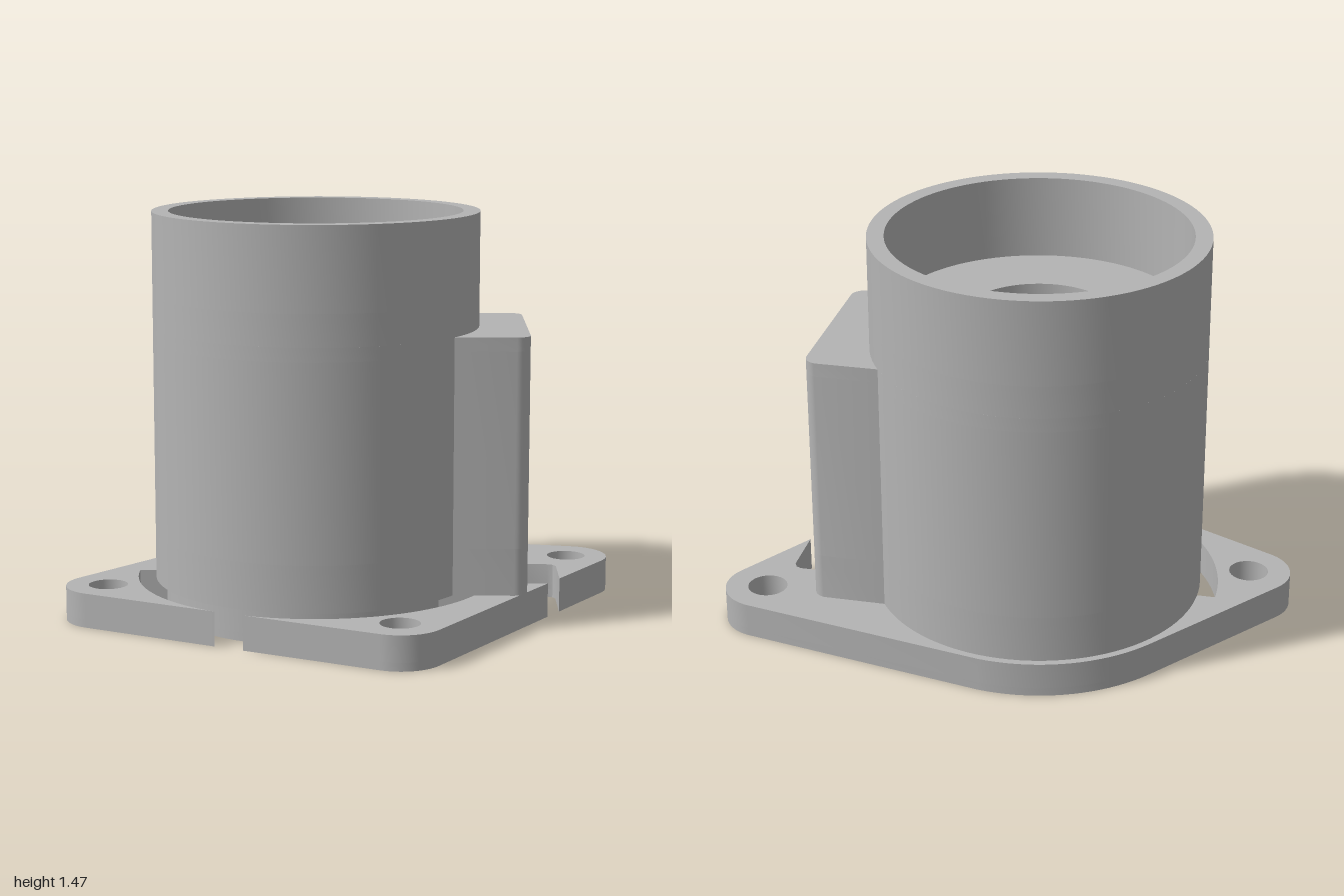
import * as THREE from 'three';
import { toCreasedNormals } from 'three/addons/utils/BufferGeometryUtils.js';

// Plans are drawn in (x, z) and extruded upwards.
const V = (x, z) => new THREE.Vector2(x, z);
const CX = -0.1, CZ = -0.125, R = 0.59;

function arc(cx, cz, r, a0, a1, n = 40) {
  const pts = [];
  for (let i = 0; i <= n; i++) {
    const a = a0 + (a1 - a0) * i / n;
    pts.push(V(cx + r * Math.cos(a), cz + r * Math.sin(a)));
  }
  return pts;
}
const circle = (cx, cz, r, n = 64) => arc(cx, cz, r, 0, Math.PI * 2, n).slice(0, -1);

export function createModel() {
  const model = new THREE.Group();
  const grey = new THREE.MeshStandardMaterial({ color: 0xb4b4b4 });
  grey.name = 'grey plastic';

  function layer(name, outline, holes, y0, y1) {
    const shape = new THREE.Shape(outline);
    shape.holes = holes.map((h) => new THREE.Path(h));
    let geo = new THREE.ExtrudeGeometry(shape, { depth: y1 - y0, bevelEnabled: false });
    geo.rotateX(Math.PI / 2).translate(0, y1, 0);
    geo = toCreasedNormals(geo, 0.5);
    const mesh = new THREE.Mesh(geo, grey);
    mesh.name = name;
    model.add(mesh);
  }

  // Flange outline: a hull around three lugs and the tube
  const lugs = [
    { x: 0.84, z: -0.415, r: 0.152 },
    { x: 0.205, z: 0.575, r: 0.155 },
    { x: -0.848, z: 0.065, r: 0.152 },
    { x: CX, z: CZ, r: 0.615 },
  ];
  const normals = lugs.map((a, i) => {
    const b = lugs[(i + 1) % 4];
    const dx = b.x - a.x, dz = b.z - a.z;
    return Math.atan2(dz, dx) - Math.acos((a.r - b.r) / Math.hypot(dx, dz));
  });
  const corners = lugs.map((c, i) => {
    const a0 = normals[(i + 3) % 4];
    let a1 = normals[i];
    while (a1 < a0) a1 += Math.PI * 2;
    return arc(c.x, c.z, c.r, a0, a1, 20);
  });

  // Cable exit through the edge between the right and front lugs
  const p = corners[0].at(-1), q = corners[1][0];
  const edgeAtX = (x) => V(x, p.y + (q.y - p.y) * (x - p.x) / (q.x - p.x));
  const edgeAtZ = (z) => V(p.x + (q.x - p.x) * (z - p.y) / (q.y - p.y), z);

  // Cavity under the tube; the pocket is a shallow recess in its far wall
  const x0 = -0.36, x1 = 0.6, z0 = -0.39, z1 = 0.14, w0 = -0.27, w1 = 0.02;
  const cavity = [V(x0, z0), V(x1, z0), V(x1, z1), V(x0, z1)];
  const pocket = [V(x0, -0.235), V(-0.5, -0.235), V(-0.5, -0.005), V(x0, -0.005)];

  // Curved slot, open to the outside between the front and left lugs
  const ro = 0.655, ri = 0.55;
  const aGap = normals[1] < 0 ? normals[1] + Math.PI * 2 : normals[1];
  const slot = [
    ...arc(CX, CZ, ro, aGap - 0.086, Math.asin(0.325 / ro)),
    ...arc(CX, CZ, ri, Math.asin(0.325 / ri), Math.PI + Math.asin(0.025 / ri), 60),
    ...arc(CX, CZ, ro, Math.PI + Math.asin(0.025 / ro), aGap + 0.086),
  ];

  const flange = (recess) => [
    ...corners[0],
    edgeAtX(0.79), V(0.79, w0 + 0.03), V(0.78, w0 + 0.009), V(0.76, w0),
    V(x1, w0), V(x1, z0), V(x0, z0), ...recess, V(x0, z1), V(x1, z1), V(x1, w1),
    edgeAtZ(w1),
    ...corners[1], ...slot, ...corners[2], ...corners[3].slice(0, -1),
  ];
  const bolts = lugs.slice(0, 3).map((l) => circle(l.x, l.z, 0.071, 32));
  layer('flangeBottom', flange([]), bolts, 0, 0.03);
  layer('flangeTop', flange(pocket), bolts, 0.03, 0.125);

  // Tube joined to the side housing
  const join = Math.asin(0.325 / R), bx = 0.66, k = 0.05;
  const housing = [
    ...arc(CX, CZ, R, join, Math.PI * 2 - join, 80),
    ...arc(bx - k, -0.45 + k, k, -Math.PI / 2, 0, 8),
    ...arc(bx - k, 0.2 - k, k, 0, Math.PI / 2, 8),
  ];
  const n = housing.length - 9;
  const openHousing = [
    ...housing.slice(0, n),
    V(bx, w0), V(x1, w0), V(x1, z0), V(x0, z0), V(x0, z1), V(x1, z1), V(x1, w1), V(bx, w1),
    ...housing.slice(n),
  ];
  const bore = circle(CX, CZ, 0.263);
  const tube = circle(CX, CZ, R, 96);
  layer('housingWithCableWindow', openHousing, [], 0.125, 0.295);
  layer('housingWalls', housing, [cavity], 0.295, 1.0);
  layer('housingRoof', housing, [bore], 1.0, 1.05);

  // Upper tube: bored floor and open cup
  layer('cupFloor', tube, [bore], 1.05, 1.165);
  layer('cupWall', tube, [circle(CX, CZ, 0.53, 96)], 1.165, 1.465);

  return model;
}
